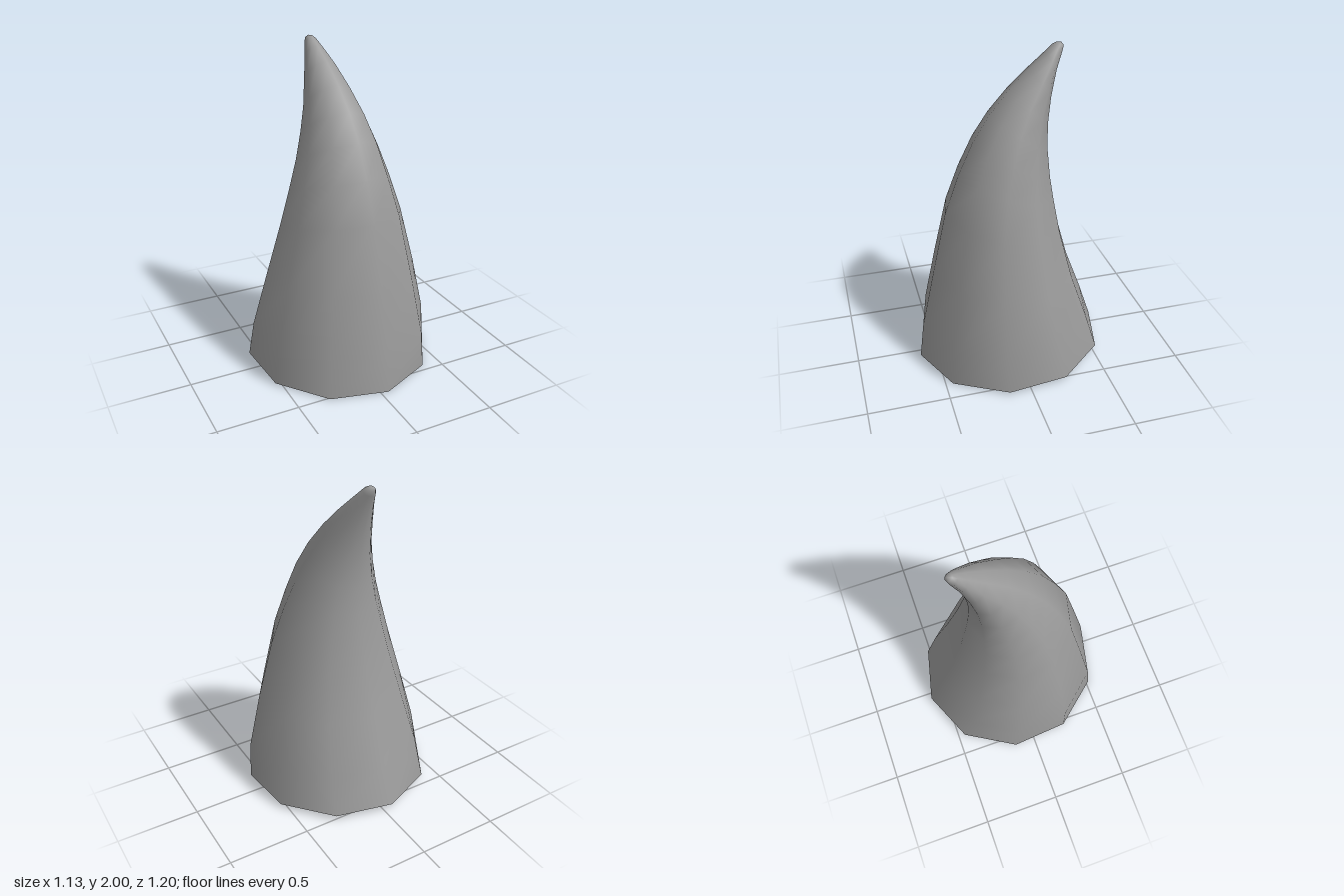
import * as THREE from 'three';

const SIDES = 10;
const TWIST = 0.084; // small turn of every ring about the spine

// Each ring: front edge y, z, back edge y, z, sideways offset, sideways radius
const RINGS = [
  [0.00, 0.603, 0.04, -0.603, 0, 0.582],
  [0.23, 0.576, 0.28, -0.522, 0.003, 0.56],
  [0.62, 0.491, 0.57, -0.412, 0.006, 0.478],
  [1.02, 0.401, 0.87, -0.326, 0.01, 0.382],
  [1.26, 0.313, 1.08, -0.283, 0.01, 0.312],
  [1.46, 0.22, 1.22, -0.257, 0.01, 0.256],
  [1.615, 0.118, 1.38, -0.24, 0.006, 0.205],
  [1.75, 0.00, 1.53, -0.239, -0.001, 0.155],
  [1.868, -0.13, 1.69, -0.258, -0.01, 0.109],
  [1.947, -0.225, 1.84, -0.293, -0.02, 0.066],
  [1.988, -0.272, 1.95, -0.332, -0.028, 0.038],
  [2.00, -0.30, 1.98, -0.341, -0.03, 0.022],
];
const TIP = [-0.031, 1.998, -0.327];

// Skins tilted elliptical rings and closes them at the tip; the base stays open
function hornGeometry() {
  const pos = [], index = [];
  for (const [fy, fz, by, bz, cx, radius] of RINGS) {
    for (let i = 0; i < SIDES; i++) {
      const a = TWIST + (i / SIDES) * Math.PI * 2;
      const t = Math.cos(a) / 2;
      pos.push(
        cx + radius * Math.sin(a),
        (fy + by) / 2 + t * (fy - by),
        (fz + bz) / 2 + t * (fz - bz),
      );
    }
  }
  pos.push(...TIP);
  const tip = RINGS.length * SIDES;
  for (let r = 0; r < RINGS.length; r++) {
    for (let i = 0; i < SIDES; i++) {
      const a = r * SIDES + i;
      const b = r * SIDES + ((i + 1) % SIDES);
      if (r === RINGS.length - 1) index.push(a, b, tip);
      else index.push(a, b, b + SIDES, a, b + SIDES, a + SIDES);
    }
  }
  const geometry = new THREE.BufferGeometry();
  geometry.setAttribute('position', new THREE.Float32BufferAttribute(pos, 3));
  geometry.setIndex(index);
  geometry.computeVertexNormals();
  return geometry;
}

export function createModel() {
  const group = new THREE.Group();
  group.name = 'curvedHorn';
  const horn = new THREE.Mesh(
    hornGeometry(),
    new THREE.MeshStandardMaterial({ color: 0x999999, side: THREE.DoubleSide }),
  );
  horn.name = 'horn';
  group.add(horn);
  return group;
}
